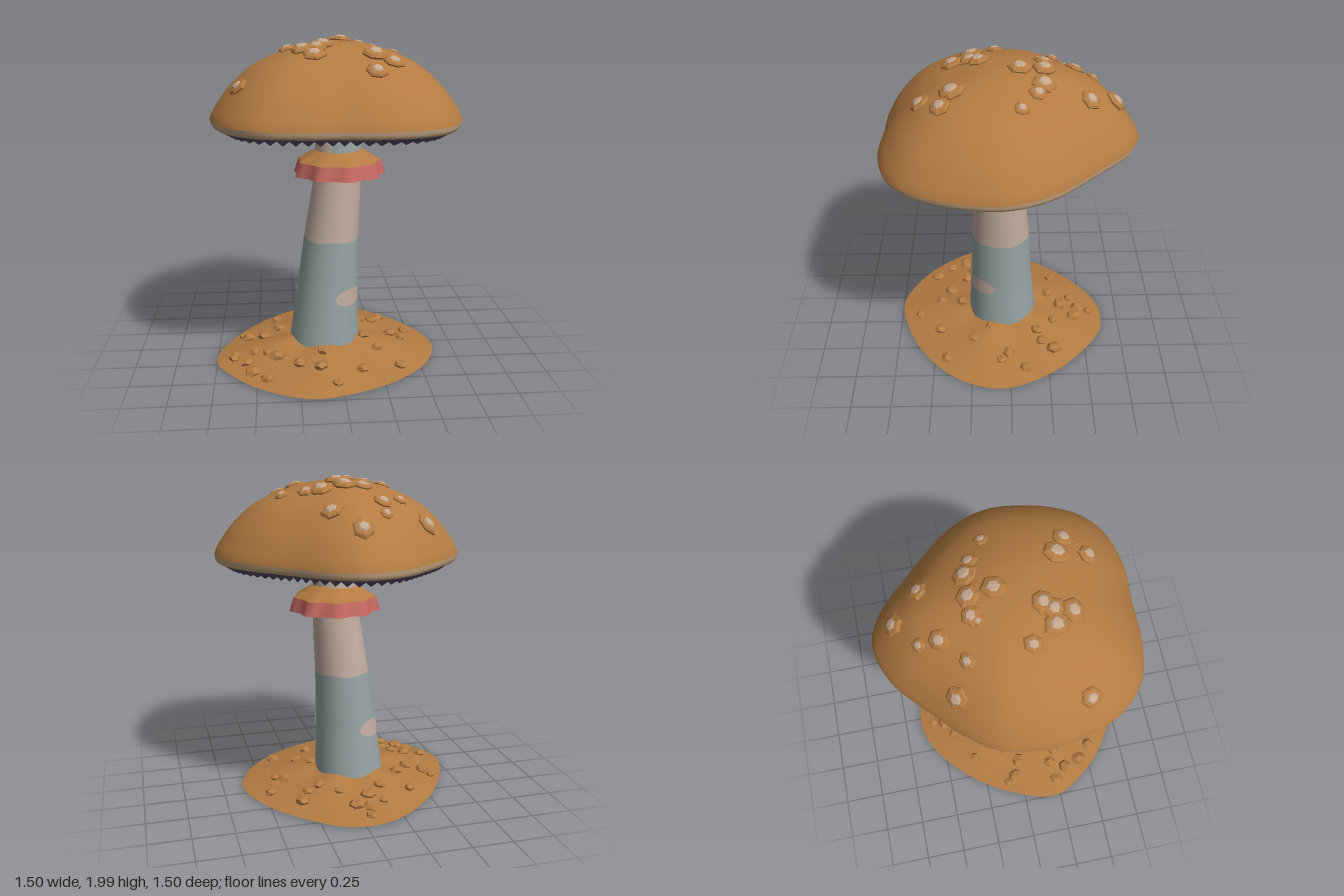
import * as THREE from 'three';
import { mergeVertices } from 'three/addons/utils/BufferGeometryUtils.js';

const TAU = Math.PI * 2;

function mat(name, color) {
  const m = new THREE.MeshStandardMaterial({ color, side: THREE.DoubleSide });
  m.name = name;
  return m;
}

// Grid surface: u runs around, v runs along the profile, fn(u, v) gives [x, y, z]
function surface(nu, nv, fn, flat = false) {
  const pos = [], idx = [];
  for (let j = 0; j <= nv; j++)
    for (let i = 0; i <= nu; i++) pos.push(...fn((i % nu) / nu, j / nv));
  for (let j = 0; j < nv; j++)
    for (let i = 0; i < nu; i++) {
      const a = j * (nu + 1) + i, b = a + 1, c = a + nu + 1, d = c + 1;
      idx.push(a, c, b, b, c, d);
    }
  let g = new THREE.BufferGeometry();
  g.setAttribute('position', new THREE.Float32BufferAttribute(pos, 3));
  g.setIndex(idx);
  g = flat ? g.toNonIndexed() : mergeVertices(g, 1e-5);
  g.computeVertexNormals();
  return g;
}

// Radius of a smooth closed outline as a function of angle about (cx, cz)
function outline(points, cx, cz) {
  const curve = new THREE.CatmullRomCurve3(points.map(([x, z]) => new THREE.Vector3(x - cx, 0, z - cz)), true);
  const polar = curve.getPoints(1000).map(p => [Math.atan2(p.z, p.x), Math.hypot(p.x, p.z)]);
  return angle => {
    let best = 9, r = 0;
    for (const [a, rad] of polar) {
      const d = Math.abs(Math.atan2(Math.sin(a - angle), Math.cos(a - angle)));
      if (d < best) { best = d; r = rad; }
    }
    return r;
  };
}

// Linear lookup in rows of [key, ...values]
function lookup(rows, k) {
  let i = 0;
  while (i < rows.length - 2 && k > rows[i + 1][0]) i++;
  const a = rows[i], b = rows[i + 1];
  const t = Math.min(1, Math.max(0, (k - a[0]) / (b[0] - a[0])));
  return a.slice(1).map((v, n) => v + (b[n + 1] - v) * t);
}

let seed = 7;
const rand = () => (seed = (seed * 16807) % 2147483647) / 2147483647;

const capRadius = outline([[0.03, -0.752], [0.2, -0.69], [0.42, -0.48], [0.622, -0.26], [0.71, -0.1], [0.745, 0.05],
  [0.735, 0.2], [0.68, 0.42], [0.575, 0.6], [0.42, 0.705], [0.2, 0.748], [0, 0.737], [-0.25, 0.73], [-0.47, 0.675],
  [-0.62, 0.54], [-0.705, 0.365], [-0.748, 0.15], [-0.742, 0], [-0.7, -0.18], [-0.597, -0.33], [-0.395, -0.53], [-0.2, -0.69]], 0, 0);
const capCurve = new THREE.SplineCurve([[0, 1.97], [0.2, 1.957], [0.35, 1.93], [0.5, 1.89], [0.6, 1.855], [0.7, 1.81],
  [0.8, 1.743], [0.88, 1.678], [0.95, 1.604], [0.985, 1.56], [1, 1.53]].map(p => new THREE.Vector2(...p)));
const capRows = capCurve.getPoints(64).map(p => [p.x, p.y]);
const capY = (x, z) => lookup(capRows, Math.hypot(x, z) / capRadius(Math.atan2(z, x)))[0];

// Stem cross-sections: y, centre x, radius x, centre z, radius z
const stemRows = [[0.04, -0.078, 0.226, 0.05, 0.23], [0.1, -0.075, 0.22, 0.05, 0.225], [0.4, -0.058, 0.194, 0.056, 0.203],
  [0.77, -0.03, 0.17, 0.057, 0.182], [1.17, 0.01, 0.144, 0.062, 0.15], [1.45, 0.01, 0.133, 0.06, 0.133], [1.62, 0.01, 0.128, 0.06, 0.128]];
function stemPoint(a, y, off = 0) {
  const [cx, rx, cz, rz] = lookup(stemRows, y);
  return [cx + (rx + off) * Math.cos(a), y, cz + (rz + off) * Math.sin(a)];
}

const SX = -0.075, SZ = 0.05, SR = 0.21;
const moundRadius = outline([[-0.755, 0.22], [-0.66, -0.11], [-0.43, -0.43], [-0.15, -0.62], [0.1, -0.62], [0.36, -0.43],
  [0.52, -0.23], [0.625, 0.05], [0.54, 0.34], [0.3, 0.58], [0, 0.72], [-0.2, 0.745], [-0.46, 0.62], [-0.64, 0.44]], SX, SZ);
const moundY = (a, t) => 0.02 + 0.1 * (1 - t) + 0.012 * Math.sin(5 * a) * (1 - t);

export function createModel() {
  const model = new THREE.Group();
  const brown = mat('earth brown', 0xb37b42);
  const pale = mat('pale flesh', 0xc4aea0);
  const wartTan = mat('wart tan', 0xc4a78f);
  const blue = mat('blue grey', 0x97a5a4);
  const pink = mat('ring pink', 0xc86a62);
  const purple = mat('gill purple', 0x564e6a);
  const cream = mat('rim tan', 0xc2a27e);
  const add = (name, geo, material, parent = model) => {
    const m = new THREE.Mesh(geo, material);
    m.name = name;
    parent.add(m);
    return m;
  };

  // Cap
  const capRing = (u, s, y) => {
    const a = u * TAU, r = capRadius(a) * s;
    return [r * Math.cos(a), y, r * Math.sin(a)];
  };
  add('capTop', surface(96, 30, (u, v) => {
    const p = capCurve.getPoint(1 - v);
    return capRing(u, p.x, p.y);
  }), brown);
  const rimRows = [[0, 0.955, 1.487], [0.33, 0.98, 1.488], [0.67, 0.995, 1.505], [1, 1, 1.53]];
  add('capRim', surface(96, 6, (u, v) => capRing(u, ...lookup(rimRows, v))), cream);

  // Gills: shallow folds radiating from the stem, deepest a little inside the rim
  const GILLS = 64;
  const gillRows = [[0, 0.1, 1.57, 0.003], [0.4, 0.45, 1.525, 0.006], [0.8, 0.87, 1.454, 0.013], [1, 0.965, 1.488, 0.001]];
  add('gills', surface(GILLS * 2, 5, (u, v) => {
    const [s, y, depth] = lookup(gillRows, v);
    const side = Math.round(u * GILLS * 2) % 2 ? 1 : -1;
    return capRing(u, s, y + side * depth);
  }, true), purple);

  // Warts: x, z, radius
  const warts = [[0.03, -0.6, 0.068], [-0.135, -0.485, 0.042], [0.16, -0.44, 0.062], [-0.15, -0.375, 0.058], [-0.43, -0.34, 0.068],
    [-0.29, -0.255, 0.048], [-0.08, -0.195, 0.058], [0.02, -0.19, 0.07], [0.155, -0.185, 0.07], [0.235, -0.15, 0.054],
    [-0.115, -0.165, 0.038], [0.035, -0.055, 0.067], [0.36, -0.06, 0.047], [-0.29, 0.085, 0.055], [-0.21, 0.22, 0.072],
    [-0.085, 0.175, 0.066], [-0.125, 0.225, 0.064], [-0.145, 0.325, 0.068], [0.2, 0.315, 0.077], [0.295, 0.375, 0.063],
    [0.19, 0.495, 0.063], [-0.565, 0.34, 0.063]];
  const wartGroup = new THREE.Group();
  wartGroup.name = 'warts';
  model.add(wartGroup);
  for (const [x, z, r] of warts) {
    const wart = new THREE.Group();
    wart.name = 'wart';
    const e = 0.02;
    const n = new THREE.Vector3(capY(x - e, z) - capY(x + e, z), 2 * e, capY(x, z - e) - capY(x, z + e)).normalize();
    wart.position.set(x, capY(x, z), z);
    wart.quaternion.setFromUnitVectors(new THREE.Vector3(0, 1, 0), n);
    const sides = 6 + Math.floor(rand() * 2), turn = rand() * TAU;
    const wobble = Array.from({ length: sides }, () => 0.88 + rand() * 0.22);
    const lathe = rows => surface(sides, rows.length - 1, (u, v) => {
      const [k, y] = rows[Math.round(v * (rows.length - 1))];
      const i = Math.round(u * sides) % sides, a = turn + u * TAU;
      return [k * r * wobble[i] * Math.cos(a), y * r, k * r * wobble[i] * Math.sin(a)];
    }, true);
    add('wartSkirt', lathe([[0.9, -0.25], [1.02, 0.1], [0.85, 0.27], [0.52, 0.36]]), brown, wart);
    add('wartTop', lathe([[0.52, 0.36], [0.38, 0.47], [0, 0.5]]), wartTan, wart);
    wartGroup.add(wart);
  }

  // Stem: two colour bands with a wavy border, a rounded base and patches
  const border = a => 0.77 + 0.005 * Math.sin(5 * a);
  add('stemLower', surface(32, 12, (u, v) => stemPoint(u * TAU, 0.04 + v * (border(u * TAU) - 0.04))), blue);
  add('stemUpper', surface(32, 12, (u, v) => stemPoint(u * TAU, border(u * TAU) + v * (1.61 - border(u * TAU)))), pale);
  add('stemBase', surface(32, 4, (u, v) => {
    const [x, , z] = stemPoint(u * TAU, 0.04);
    return [-0.078 + (x + 0.078) * v, 0.01 + 0.03 * v * v, 0.05 + (z - 0.05) * v];
  }), pale);
  const patch = (name, material, a0, y0, da, dy, minY = 0) => add(name, surface(28, 8, (u, v) => {
    const t = u * TAU, k = 1 - v;
    return stemPoint(a0 + da * k * Math.cos(t), Math.max(minY, y0 + dy * k * Math.sin(t)), 0.004);
  }), material);
  patch('frontPatch', pale, Math.PI / 4, 0.415, 0.58, 0.055);
  patch('backPatch', pale, Math.PI * 1.25, 0.415, 0.58, 0.055);
  patch('topPatch', blue, Math.PI / 4, 1.3, 1.12, 0.21, 1.2);

  // Ruffled ring around the stem
  const ruffle = (name, material, y0, r0, w0, y1, r1, w1) => add(name, surface(36, 2, (u, v) => {
    const a = u * TAU, r = r0 + (r1 - r0) * v + (w0 + (w1 - w0) * v) * Math.cos(9 * a);
    return [0.017 + r * Math.cos(a), y0 + (y1 - y0) * v, 0.06 + r * Math.sin(a)];
  }), material);
  ruffle('ringTop', brown, 1.255, 0.246, 0.014, 1.33, 0.13, 0);
  ruffle('ringSkirt', pink, 1.17, 0.268, 0.02, 1.255, 0.246, 0.014);

  // Earth mound
  add('mound', surface(72, 8, (u, v) => {
    const a = u * TAU, t = 1 - v, r = SR + (moundRadius(a) - SR) * t;
    return [SX + r * Math.cos(a), moundY(a, t), SZ + r * Math.sin(a)];
  }), brown);

  // Pebbles: x, z
  const pebbles = [[-0.56, -0.04], [-0.52, 0.22], [-0.44, 0.52], [-0.38, 0.31], [-0.57, 0.32], [-0.03, 0.62], [0.13, 0.47],
    [0.37, 0.41], [-0.09, 0.33], [0.17, 0.13], [0.18, -0.18], [0.08, -0.29], [-0.09, -0.35], [-0.17, -0.42], [-0.07, -0.47],
    [0.01, -0.44], [0.47, -0.1], [0.36, 0.01], [0.26, -0.21], [0.42, 0.06], [0.31, -0.29],
    [-0.05, -0.55], [-0.19, -0.27], [-0.38, -0.3], [-0.36, -0.09], [-0.46, 0], [-0.6, -0.1], [-0.24, 0.41], [-0.44, 0.26],
    [-0.64, 0.24], [-0.53, 0.43], [-0.12, 0.47], [0.24, 0.25]];
  const pebbleGroup = new THREE.Group();
  pebbleGroup.name = 'pebbles';
  model.add(pebbleGroup);
  for (const [x, z] of pebbles) {
    const a = Math.atan2(z - SZ, x - SX);
    const t = Math.min(1, (Math.hypot(x - SX, z - SZ) - SR) / (moundRadius(a) - SR));
    const r = 0.032 + rand() * 0.018;
    const geo = rand() < 0.5 ? new THREE.IcosahedronGeometry(r) : new THREE.DodecahedronGeometry(r);
    geo.rotateX(rand() * TAU).rotateZ(rand() * TAU).scale(1.1, 0.62, 0.95).rotateY(rand() * TAU);
    geo.computeVertexNormals();
    add('pebble', geo, brown, pebbleGroup).position.set(x, Math.max(moundY(a, t) + 0.008, r * 0.62), z);
  }
  return model;
}
